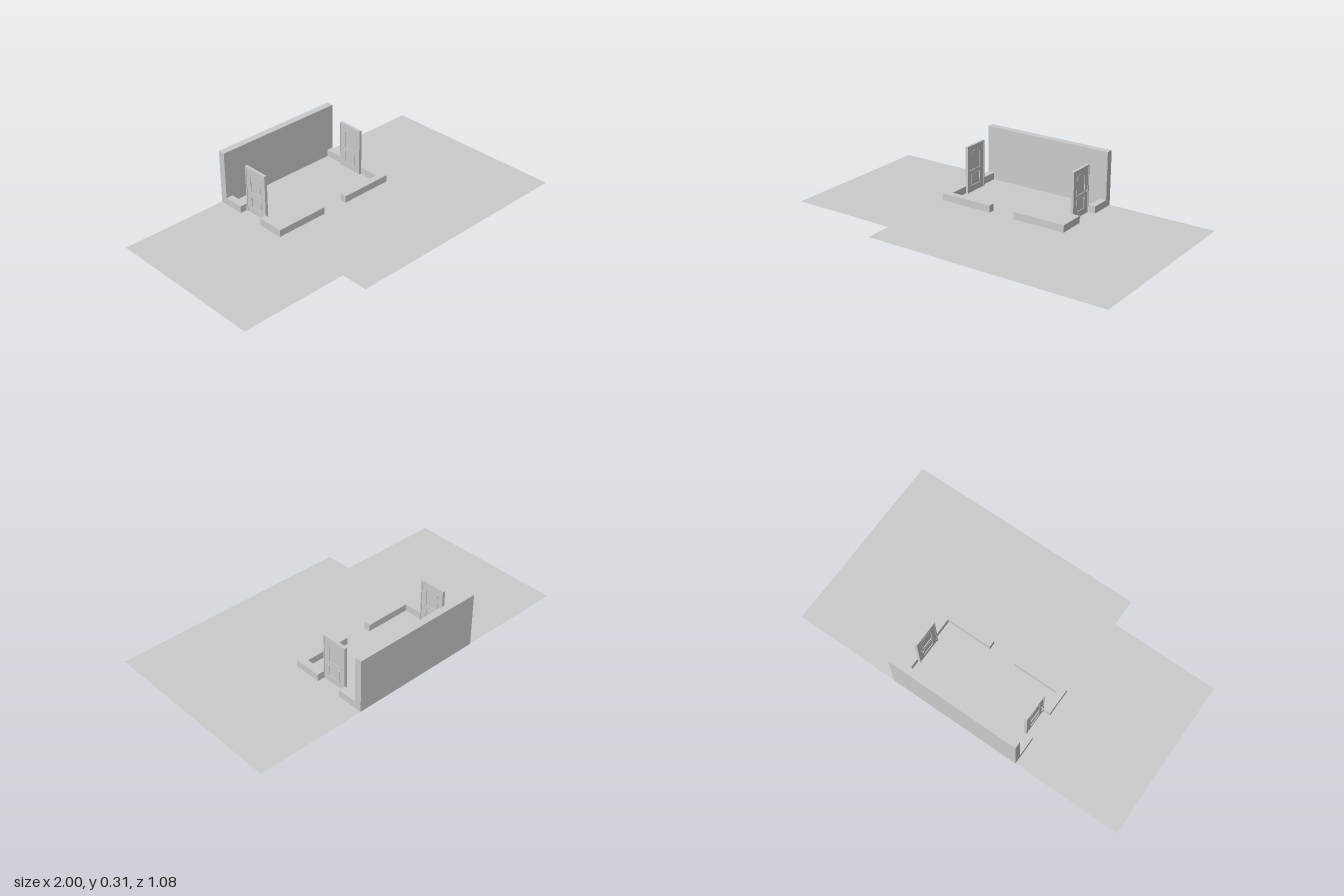
import * as THREE from 'three';

const material = new THREE.MeshStandardMaterial({ color: 0xcccccc, side: THREE.DoubleSide, flatShading: true });

function add(parent, name, geometry, x = 0, y = 0, z = 0) {
  const mesh = new THREE.Mesh(geometry, material);
  mesh.name = name;
  mesh.position.set(x, y, z);
  parent.add(mesh);
  return mesh;
}

// Box given by its minimum and maximum corners
function block(parent, name, [x0, y0, z0], [x1, y1, z1]) {
  return add(parent, name, new THREE.BoxGeometry(x1 - x0, y1 - y0, z1 - z0),
    (x0 + x1) / 2, (y0 + y1) / 2, (z0 + z1) / 2);
}

// Rectangle outline whose top may bulge into an arch
function panelPoints(halfWidth, bottom, spring, rise, inset = 0) {
  const w = halfWidth - inset;
  const points = [new THREE.Vector2(-w, bottom + inset), new THREE.Vector2(w, bottom + inset)];
  const steps = rise > 0 ? 12 : 1;
  for (let i = 0; i <= steps; i++) {
    const t = 1 - (2 * i) / steps;
    points.push(new THREE.Vector2(w * t, spring - inset + rise * (1 - t * t)));
  }
  return points;
}

function extrude(points, hole, depth) {
  const shape = new THREE.Shape(points);
  for (const h of hole) shape.holes.push(new THREE.Path(h));
  return new THREE.ExtrudeGeometry(shape, { depth, bevelEnabled: false }).translate(0, 0, -depth / 2);
}

function createDoor() {
  const door = new THREE.Group();
  const panels = [
    { name: 'archedPanel', size: [0.041, 0.124, 0.226, 0.015] },
    { name: 'lowerPanel', size: [0.039, 0.034, 0.104, 0] },
  ];

  // Frame: two jambs and a head
  for (const s of [-1, 1]) {
    add(door, 'doorJamb', new THREE.BoxGeometry(0.007, 0.27, 0.016), s * 0.0725, 0.135, 0);
  }
  add(door, 'doorHead', new THREE.BoxGeometry(0.138, 0.007, 0.016), 0, 0.2665, 0);

  // Leaf with two openings
  const leaf = panelPoints(0.069, 0.001, 0.263, 0);
  add(door, 'doorLeaf', extrude(leaf, panels.map((p) => panelPoints(...p.size)), 0.01));

  // Moulding around each opening, a sunk panel and a raised centre field
  for (const { name, size } of panels) {
    add(door, name + 'Moulding', extrude(panelPoints(...size), [panelPoints(...size, 0.004)], 0.013));
    add(door, name, extrude(panelPoints(...size, 0.003), [], 0.005));
  }

  // Lever handle on both faces
  for (const s of [-1, 1]) {
    const plate = add(door, 'handleRose', new THREE.CylinderGeometry(0.004, 0.004, 0.002, 12), 0.054, 0.131, s * 0.006);
    plate.rotation.x = Math.PI / 2;
    const stem = add(door, 'handleStem', new THREE.CylinderGeometry(0.0016, 0.0016, 0.012, 8), 0.054, 0.131, s * 0.012);
    stem.rotation.x = Math.PI / 2;
    add(door, 'handleLever', new THREE.BoxGeometry(0.018, 0.003, 0.003), 0.047, 0.131, s * 0.0175);
  }
  return door;
}

export function createModel() {
  const model = new THREE.Group();
  model.name = 'walledRoom';

  // Ground sheet with one notched corner
  const outline = [[-1, 0.54], [1, 0.54], [1, -0.536], [-0.385, -0.536], [-0.385, -0.38], [-1, -0.38]];
  const ground = new THREE.ShapeGeometry(new THREE.Shape(outline.map((p) => new THREE.Vector2(...p))));
  add(model, 'ground', ground.rotateX(-Math.PI / 2));

  // Full-height back wall
  block(model, 'backWall', [-0.385, 0, -0.54], [0.385, 0.31, -0.5]);

  // Low walls and a door on each side
  for (const s of [-1, 1]) {
    const side = s > 0 ? 'left' : 'right';
    const wall = (name, a, b, z0, z1) => block(model, side + name,
      [Math.min(s * a, s * b), 0, z0], [Math.max(s * a, s * b), 0.04, z1]);
    wall('RearLowWall', 0.345, 0.385, -0.5, -0.386);
    wall('SideLowWall', 0.345, 0.385, -0.232, -0.115);
    wall('FrontLowWall', 0.077, 0.385, -0.115, -0.077);

    const door = createDoor();
    door.name = side + 'Door';
    door.position.set(s * 0.337, 0, -0.307);
    door.rotation.y = (s * Math.PI) / 2;
    model.add(door);
  }
  return model;
}
